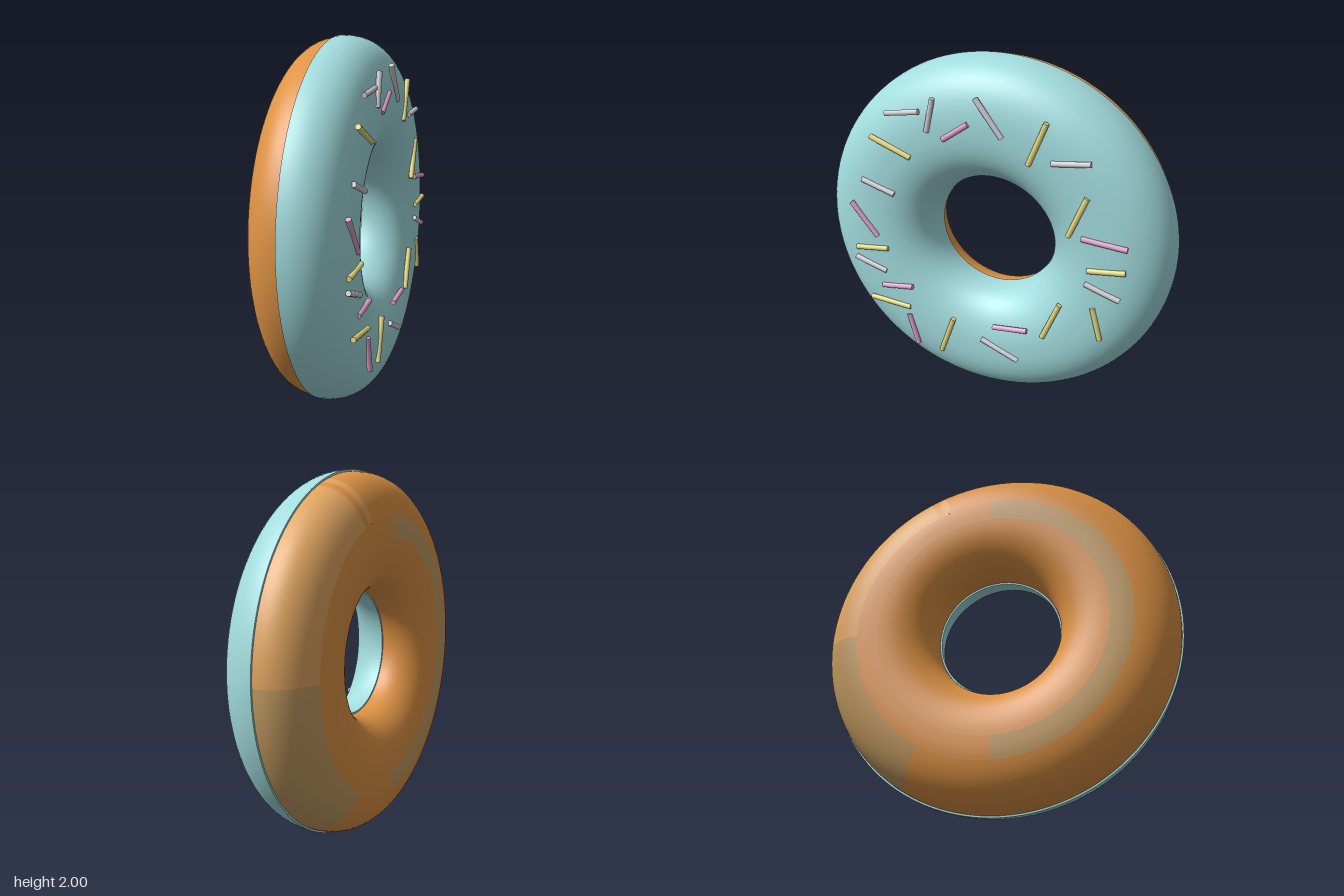
import * as THREE from 'three';

const mat = (name, color, side = THREE.FrontSide) => {
  const m = new THREE.MeshStandardMaterial({ color, side });
  m.name = name;
  return m;
};

const DEG = Math.PI / 180;
const RING = 0.67;     // radius of the ring's centre line
const SEAM = -0.03;    // x of the join between dough and icing

// Point on the slightly squared cross-section, a in degrees
function sectionPoint(a, radial, depth) {
  const c = Math.cos(a * DEG), s = Math.sin(a * DEG), p = 2 / 2.3;
  return new THREE.Vector2(
    RING + radial * Math.sign(c) * Math.abs(c) ** p,
    SEAM + depth * Math.sign(s) * Math.abs(s) ** p
  );
}

// Part of the ring: section angles a0..a1, swept t0..t1 (0 = back, 90 = top)
function sweep(name, material, radial, depth, a0, a1, t0 = 0, t1 = 360) {
  const n = Math.max(6, Math.round((a1 - a0) / 4));
  const points = [];
  for (let i = 0; i <= n; i++) points.push(sectionPoint(a0 + (a1 - a0) * i / n, radial, depth));
  const segments = Math.max(4, Math.round((t1 - t0) / 3));
  const geo = new THREE.LatheGeometry(points, segments, t0 * DEG + Math.PI, (t1 - t0) * DEG);
  geo.rotateZ(-Math.PI / 2);
  const mesh = new THREE.Mesh(geo, material);
  mesh.name = name;
  return mesh;
}

export function createModel() {
  const root = new THREE.Group();
  root.name = 'donut';
  const ring = new THREE.Group();
  ring.name = 'ring';
  ring.position.y = 1;
  root.add(ring);

  const dough = mat('dough orange', 0xdf9344);
  const lightDough = mat('light dough', 0xe0a560);
  const tanDough = mat('tan dough', 0xc49c62);
  const icing = mat('icing blue', 0xa2dcde);
  const lipIcing = icing.clone();
  lipIcing.side = THREE.DoubleSide;

  // Dough half, split where the baked tone changes
  const R = 0.32, D = 0.23;
  const dougPart = (name, m, a0, a1, t0, t1) => ring.add(sweep(name, m, R, D, a0, a1, t0, t1));
  dougPart('doughInner', dough, 180, 266);
  dougPart('doughFaceBack', dough, 266, 284, -90, 90);
  dougPart('doughFaceBand', tanDough, 266, 284, 90, 270);
  dougPart('doughRimLower', tanDough, 284, 360, -60, 0);
  dougPart('doughRimUpper', lightDough, 284, 360, 0, 66);
  dougPart('doughRimGap', dough, 284, 360, 66, 69);
  dougPart('doughRimStripe', lightDough, 284, 360, 69, 72);
  dougPart('doughRimFront', dough, 284, 360, 72, 300);

  // Icing half with the small lips overhanging the dough
  ring.add(sweep('icing', icing, 0.33, 0.27, 0, 180));
  for (const [name, r0, r1] of [['outerLip', 0.985, 1], ['innerLip', 0.34, 0.355]]) {
    const lip = new THREE.Mesh(new THREE.RingGeometry(r0, r1, 120), lipIcing);
    lip.rotation.y = -Math.PI / 2;
    lip.position.x = SEAM;
    lip.name = name;
    ring.add(lip);
  }

  // Sprinkles lying on the icing: ends as z, y, z, y
  const sprinkles = [
    ['greySprinkle', mat('sprinkle grey', 0xd2ced4), [
      [0.53, 1.70, 0.34, 1.73], [0.30, 1.63, 0.26, 1.81], [0.03, 1.84, -0.11, 1.65],
      [-0.37, 1.555, -0.57, 1.58], [0.70, 1.30, 0.51, 1.24], [-0.57, 0.91, -0.76, 0.845],
      [0.78, 0.80, 0.59, 0.74], [0.01, 0.41, -0.21, 0.315]]],
    ['pinkSprinkle', mat('sprinkle pink', 0xe0a0c8), [
      [0.21, 1.60, 0.07, 1.70], [0.78, 1.15, 0.63, 0.96], [-0.54, 1.17, -0.78, 1.15],
      [0.62, 0.64, 0.43, 0.665], [-0.06, 0.51, -0.26, 0.53], [0.46, 0.475, 0.41, 0.28]]],
    ['yellowSprinkle', mat('sprinkle yellow', 0xe6d880), [
      [0.63, 1.56, 0.40, 1.47], [-0.25, 1.53, -0.34, 1.76], [-0.47, 1.17, -0.56, 1.40],
      [-0.58, 0.99, -0.78, 1.015], [0.77, 0.865, 0.57, 0.89], [0.70, 0.545, 0.45, 0.525],
      [0.18, 0.505, 0.26, 0.27], [-0.35, 0.515, -0.44, 0.745], [-0.62, 0.77, -0.67, 0.58]]],
  ];
  const up = new THREE.Vector3(0, 1, 0);
  for (const [name, material, ends] of sprinkles) {
    for (const [z0, y0, z1, y1] of ends) {
      const a = new THREE.Vector3(0.241, y0, z0), b = new THREE.Vector3(0.241, y1, z1);
      const dir = b.clone().sub(a);
      const mesh = new THREE.Mesh(new THREE.CylinderGeometry(0.015, 0.015, dir.length(), 10), material);
      mesh.position.copy(a).add(b).multiplyScalar(0.5);
      mesh.quaternion.setFromUnitVectors(up, dir.normalize());
      mesh.name = name;
      root.add(mesh);
    }
  }
  return root;
}
